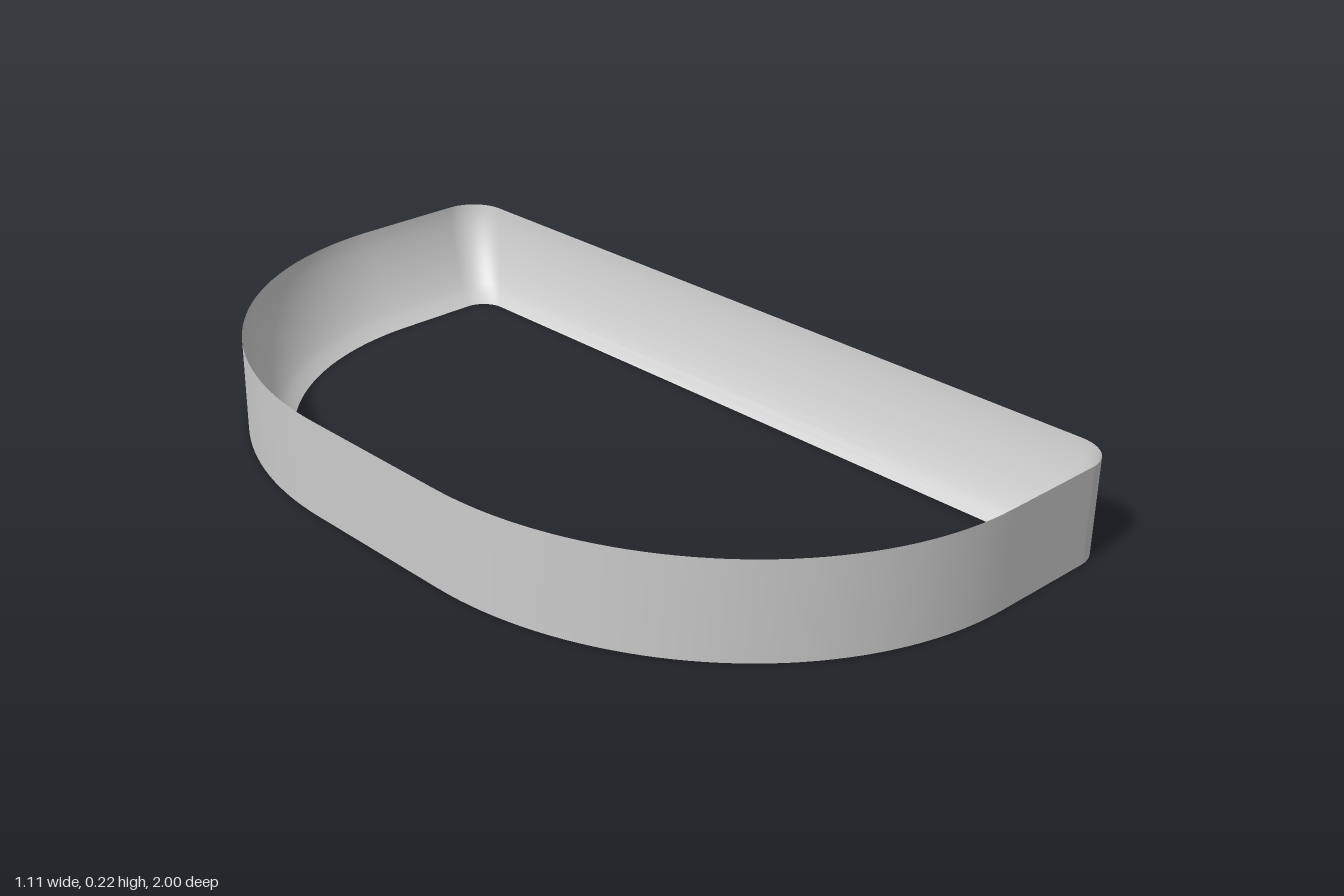
import * as THREE from 'three';

const HEIGHT = 0.222;

// D-shaped loop in the ground plane: two tight corners at +x, two broad arcs at -x
function outline(xMax, xMin, zMax, corner) {
  const cx = 0.2, cz = 0.2;
  const points = [];
  const arc = (x, z, rx, rz, start, steps) => {
    for (let i = 0; i <= steps; i++) {
      const a = start + (i / steps) * Math.PI / 2;
      points.push([x + rx * Math.cos(a), z + rz * Math.sin(a)]);
    }
  };
  arc(xMax - corner, zMax - corner, corner, corner, 0, 12);
  arc(cx, cz, cx - xMin, zMax - cz, Math.PI / 2, 40);
  arc(cx, -cz, cx - xMin, zMax - cz, Math.PI, 40);
  arc(xMax - corner, -zMax + corner, corner, corner, Math.PI * 1.5, 12);
  return points;
}

const outer = outline(0.553, -0.553, 1, 0.09);
const inner = outline(0.465, -0.465, 0.865, 0.06);

// Each row is [blend from outer to inner outline, height]; rows are joined into a closed band
function band(name, rows, material) {
  const n = outer.length;
  const positions = [];
  const index = [];
  rows.forEach(([t, y], r) => {
    for (let i = 0; i < n; i++) {
      positions.push(
        THREE.MathUtils.lerp(outer[i][0], inner[i][0], t), y,
        THREE.MathUtils.lerp(outer[i][1], inner[i][1], t));
      if (r === rows.length - 1) continue;
      const a = r * n + i, b = r * n + (i + 1) % n;
      index.push(a, a + n, b, b, a + n, b + n);
    }
  });
  const geometry = new THREE.BufferGeometry();
  geometry.setAttribute('position', new THREE.Float32BufferAttribute(positions, 3));
  geometry.setIndex(index);
  geometry.computeVertexNormals();
  const mesh = new THREE.Mesh(geometry, material);
  mesh.name = name;
  return mesh;
}

export function createModel() {
  const group = new THREE.Group();
  group.name = 'dShapedRing';
  const material = new THREE.MeshStandardMaterial({ color: 0xcccccc, side: THREE.DoubleSide });

  // Hollowed inner slope: steep at the thin top rim, flaring inward at the base
  const slope = [];
  const steps = 12, p = 1.4;
  for (let i = 0; i <= steps; i++) {
    const s = i / steps;
    slope.push([1 - Math.pow(1 - Math.pow(s, p), 1 / p), HEIGHT * (1 - s)]);
  }

  group.add(
    band('outerWall', [[0, 0], [0, HEIGHT]], material),
    band('innerSlope', slope, material),
    band('base', [[1, 0], [0, 0]], material));
  return group;
}
